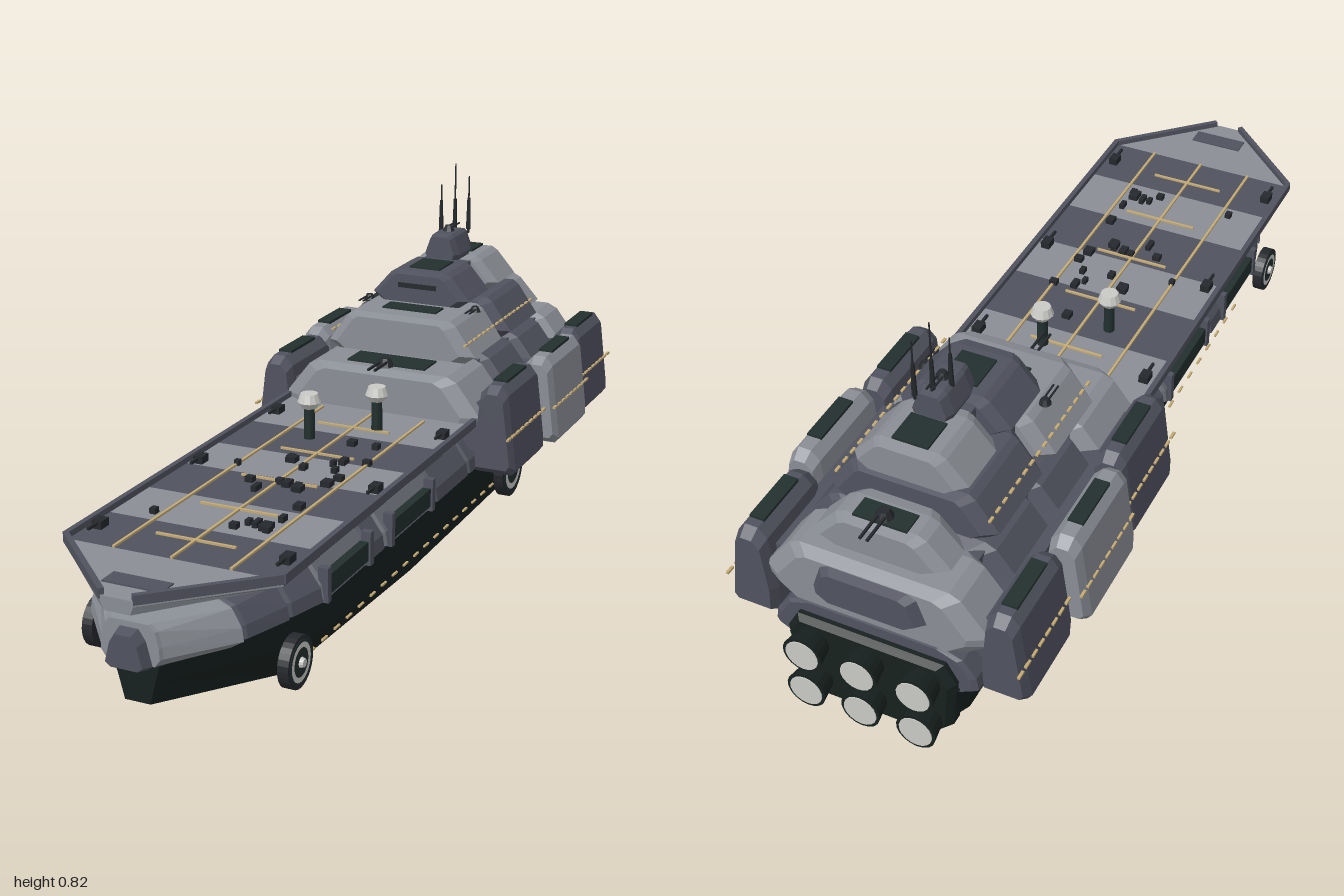
import * as THREE from 'three';
import { mergeGeometries } from 'three/addons/utils/BufferGeometryUtils.js';

const mat = (name, color) => Object.assign(new THREE.MeshStandardMaterial({ color, flatShading: true }), { name });
const M = {
  light: mat('light grey plate', 0x8a8e95), mid: mat('mid grey plate', 0x6a6d76),
  dark: mat('slate plate', 0x50525f), hull: mat('green black hull', 0x17211f),
  glass: mat('dark green panel', 0x22302e), black: mat('charcoal metal', 0x25282c),
  white: mat('pale grey', 0xc9cac6), yellow: mat('sand line', 0xc4aa74),
};

// Full ring, counterclockwise seen from the front, from its right half (bottom to top)
const ring = half => [...half, ...half.map(([x, y]) => [-x, y]).reverse()];

// Skin through cross-sections [z, points], ordered back to front, with end caps
function loft(sections) {
  const pos = [], n = sections[0][1].length;
  const P = (s, i) => [...sections[s][1][i % n], sections[s][0]];
  const last = sections.length - 1;
  for (let s = 0; s < last; s++) for (let i = 0; i < n; i++) {
    const a = P(s, i), b = P(s, i + 1), c = P(s + 1, i + 1), d = P(s + 1, i);
    pos.push(...a, ...b, ...c, ...a, ...c, ...d);
  }
  for (const s of [0, last]) {
    const [cx, cy] = centre(sections[s][1]);
    for (let i = 0; i < n; i++) {
      const a = P(s, i), b = P(s, i + 1);
      pos.push(cx, cy, sections[s][0], ...(s ? [...a, ...b] : [...b, ...a]));
    }
  }
  const g = new THREE.BufferGeometry();
  g.setAttribute('position', new THREE.Float32BufferAttribute(pos, 3));
  g.computeVertexNormals();
  return g;
}
const centre = pts => [0, 1].map(k => pts.reduce((t, p) => t + p[k], 0) / pts.length);

// Armour block: constant profile with chamfered ends
function block(pts, z0, z1, bevel = 0.025, k = 0.84) {
  const [cx, cy] = centre(pts);
  const small = pts.map(([x, y]) => [cx + (x - cx) * k, cy + (y - cy) * k]);
  return loft([[z0, small], [z0 + bevel, pts], [z1 - bevel, pts], [z1, small]]);
}
// Merged boxes given as [x, y, z, width, height, depth]
const boxes = list => mergeGeometries(list.map(([x, y, z, w, h, d]) => new THREE.BoxGeometry(w, h, d).translate(x, y, z)));
const cyl = (r0, r1, h, n = 12) => new THREE.CylinderGeometry(r0, r1, h, n);

export function createModel() {
  const root = new THREE.Group();
  const add = (name, geo, m, parent = root) => {
    const mesh = new THREE.Mesh(geo, m);
    mesh.name = name;
    parent.add(mesh);
    return mesh;
  };

  // Lower hull
  add('lowerHull', loft([
    [-0.94, ring([[0.12, 0.035], [0.17, 0.09], [0.19, 0.18]])],
    [-0.83, ring([[0.155, 0.002], [0.19, 0.09], [0.212, 0.18]])],
    [0, ring([[0.16, 0], [0.192, 0.09], [0.212, 0.178]])],
    [0.62, ring([[0.15, 0.018], [0.185, 0.09], [0.208, 0.172]])],
    [0.94, ring([[0.028, 0.073], [0.04, 0.12], [0.05, 0.156]])],
  ]), M.hull);

  // Segmented belt above it, narrowing towards the bow
  const belt = k => ring([[0.19, 0.165], [0.23, 0.185], [0.225, 0.215], [0.197, 0.255], [0.15, 0.272]]
    .map(([x, y]) => [x * k, 0.165 + (y - 0.165) * (0.7 + 0.3 * k)]));
  const width = z => z < 0.62 ? 1 : z < 0.82 ? 1 - (z - 0.62) * 1.3 : 0.74 - (z - 0.82) * 3.2;
  const cuts = [-0.93, -0.62, -0.18, 0.02, 0.3, 0.38, 0.6, 0.7, 0.82, 0.96];
  cuts.slice(1).forEach((z1, i) => {
    const z0 = cuts[i], g = 0.008, a = width(z0), b = width(z1);
    add('beltSegment', loft([[z0, belt(a * 0.95)], [z0 + g, belt(a)], [z1 - g, belt(b)], [z1, belt(b * 0.95)]]),
      [M.dark, M.dark, M.dark, M.mid, M.dark, M.mid, M.dark, M.dark, M.light][i]);
  });
  add('bowBlock', block(ring([[0.035, 0.155], [0.048, 0.165], [0.035, 0.215], [0.02, 0.237]]), 0.86, 0.985), M.dark);
  add('bowPorts', boxes([[-0.05, 0.22, 0.9, 0.03, 0.028, 0.01], [0.05, 0.22, 0.9, 0.03, 0.028, 0.01]]), M.glass);
  const ports = [], frames = [];
  for (const s of [-1, 1]) for (const [z, d] of [[0.485, 0.18], [0.16, 0.2]]) {
    ports.push([s * 0.222, 0.212, z, 0.02, 0.042, d]);
    for (const e of [-1, 1]) frames.push([s * 0.224, 0.215, z + e * (d / 2 + 0.012), 0.022, 0.075, 0.016]);
  }
  add('beltPorts', boxes(ports), M.glass);
  add('beltFrames', boxes(frames), M.dark);

  // Flight deck in alternating panels
  const deck = w => ring([[w * 0.82, 0.283], [w, 0.3], [w, 0.312]]);
  const rows = [-0.2, 0.02, 0.185, 0.33, 0.49, 0.645, 0.8, 1.0];
  rows.slice(1).forEach((z1, i) => {
    const end = i === 6 ? 0.035 : 0.242;
    add('deckPanel', loft([[rows[i], deck(0.242)], [z1, deck(end)]]), i % 2 ? M.dark : M.light);
  });
  const bowRim = Math.hypot(0.207, 0.2);
  for (const s of [-1, 1]) {
    add('deckRim', boxes([[s * 0.24, 0.315, 0.31, 0.012, 0.02, 0.98]]), M.dark);
    const rim = add('bowRim', boxes([[0, 0, 0, 0.012, 0.02, bowRim]]), M.dark);
    rim.position.set(s * 0.137, 0.315, 0.898);
    rim.rotation.y = -s * Math.atan2(0.207, 0.2);
  }
  add('bowPlate', boxes([[0, 0.313, 0.925, 0.13, 0.004, 0.045]]), M.dark);
  const lines = [-0.13, 0, 0.13].map(x => [x, 0.314, 0.33, 0.006, 0.005, 0.94]);
  for (const z of [-0.03, 0.16, 0.345, 0.525, 0.705]) lines.push([0, 0.314, z, 0.18, 0.005, 0.006]);
  add('deckLines', boxes(lines), M.yellow);
  // Small deck fittings
  let seed = 7;
  const rnd = () => (seed = (seed * 16807) % 2147483647) / 2147483647;
  const bits = [];
  for (let i = 0; i < 26; i++)
    bits.push([-0.15 + rnd() * 0.28, 0.318, 0.04 + rnd() * 0.62, 0.01 + rnd() * 0.014, 0.013, 0.012 + rnd() * 0.02]);
  for (const s of [-1, 1]) for (const z of [-0.06, 0.31, 0.72])
    bits.push([s * 0.21, 0.32, z, 0.022, 0.018, 0.03], [s * 0.21, 0.324, z + 0.025, 0.006, 0.006, 0.04]);
  add('deckFittings', boxes(bits), M.black);
  for (const [x, z] of [[0.055, -0.04], [-0.063, 0.07]]) {
    add('sensorPost', cyl(0.012, 0.013, 0.08).translate(x, 0.35, z), M.glass);
    add('sensorHead', cyl(0.027, 0.016, 0.015).translate(x, 0.392, z), M.white);
    add('sensorCap', cyl(0.02, 0.027, 0.02).translate(x, 0.409, z), M.white);
  }

  // Stepped superstructure: [name, profile, z back, z front, material]
  const base = ring([[0.2, 0.265], [0.245, 0.3], [0.25, 0.322], [0.19, 0.4], [0.165, 0.412]]);
  const second = ring([[0.165, 0.412], [0.19, 0.43], [0.14, 0.5], [0.125, 0.511]]);
  const third = ring([[0.1, 0.511], [0.127, 0.53], [0.08, 0.584], [0.065, 0.593]]);
  const tiers = [
    ['baseTier', base, -0.38, -0.165, M.light], ['baseTier', base, -0.58, -0.38, M.dark],
    ['baseTier', base, -0.78, -0.58, M.dark], ['baseTier', base, -0.93, -0.78, M.light],
    ['secondTier', second, -0.51, -0.28, M.light], ['secondTier', second, -0.765, -0.525, M.dark],
    ['aftTier', ring([[0.11, 0.412], [0.15, 0.43], [0.1, 0.485], [0.08, 0.495]]), -0.89, -0.785, M.light],
    ['thirdTier', third, -0.58, -0.4, M.dark], ['thirdTier', third, -0.765, -0.6, M.light],
    ['bridgeTop', ring([[0.04, 0.593], [0.045, 0.607], [0.03, 0.65], [0.022, 0.657]]), -0.66, -0.54, M.dark],
    ['aftBlock', ring([[0.1, 0.31], [0.13, 0.33], [0.11, 0.39], [0.09, 0.4]]), -0.95, -0.9, M.dark],
  ];
  for (const [name, pts, z0, z1, m] of tiers) add(name, block(pts, z0, z1), m);
  add('tierCores', boxes([[0, 0.34, -0.55, 0.34, 0.12, 0.7], [0, 0.46, -0.52, 0.22, 0.085, 0.44],
    [0, 0.55, -0.58, 0.12, 0.07, 0.32]]), M.dark);
  add('roofPanels', boxes([[0, 0.413, -0.25, 0.2, 0.006, 0.075], [0, 0.512, -0.375, 0.14, 0.006, 0.05],
    [0, 0.594, -0.49, 0.08, 0.006, 0.09], [0, 0.595, -0.7, 0.08, 0.006, 0.08], [0, 0.496, -0.845, 0.12, 0.006, 0.05]]), M.glass);
  add('bridgeWindow', boxes([[0, 0.56, -0.402, 0.1, 0.012, 0.008]]), M.black);

  // Gun turrets: [x, y, z, size, facing]
  for (const [x, y, z, k, f] of [[0, 0.412, -0.21, 1, 1], [0, 0.496, -0.85, 1, -1],
    [0.14, 0.506, -0.43, 0.65, 1], [-0.14, 0.506, -0.43, 0.65, 1], [0, 0.657, -0.6, 0.7, -1]]) {
    const gun = new THREE.Group();
    gun.name = 'turret';
    add('turretBase', cyl(0.012, 0.022, 0.02, 8).translate(0, 0.01, 0), M.black, gun);
    add('gunBarrels', boxes([-1, 1].map(s => [s * 0.008, 0.012, 0.045, 0.005, 0.005, 0.07])), M.black, gun);
    gun.position.set(x, y, z);
    gun.scale.setScalar(k);
    if (f < 0) gun.rotation.y = Math.PI;
    root.add(gun);
  }
  // Antennas
  for (const [x, z, top] of [[-0.025, -0.61, 0.77], [0, -0.64, 0.82], [0.027, -0.665, 0.786]]) {
    add('antenna', cyl(0.0015, 0.003, top - 0.64, 6).translate(x, (top + 0.64) / 2, z), M.black);
    add('antennaBase', cyl(0.004, 0.006, 0.08, 6).translate(x, 0.69, z), M.black);
  }

  // Side pods, wheels and dashed side lines
  const pod = [[0.235, 0.186], [0.325, 0.186], [0.335, 0.2], [0.312, 0.38], [0.295, 0.402], [0.265, 0.402], [0.245, 0.38], [0.232, 0.25]];
  for (const s of [-1, 1]) {
    const side = pts => s > 0 ? pts : pts.map(([x, y]) => [-x, y]).reverse();
    [[-0.425, -0.185, 0, M.dark], [-0.69, -0.435, 0.02, M.light], [-0.925, -0.705, 0, M.dark]].forEach(([z0, z1, dx, m]) => {
      add('sidePod', block(side(pod.map(([x, y]) => [x + dx, y + dx * 0.2])), z0, z1), m);
      add('podRoofPanel', boxes([[s * (0.28 + dx), 0.404 + dx * 0.2, (z0 + z1) / 2, 0.034, 0.007, 0.13]]), M.glass);
    });
    add('podMounts', boxes([[s * 0.225, 0.29, -0.55, 0.06, 0.12, 0.66]]), M.dark);

    for (const [z, r] of [[0.715, 0.055], [-0.475, 0.073]]) {
      const wheel = new THREE.Group();
      wheel.name = 'wheel';
      add('tyre', cyl(r, r, 0.024, 28), M.black, wheel);
      add('wheelRing', new THREE.RingGeometry(r * 0.55, r * 0.75, 28).rotateX(-Math.PI / 2).translate(0, 0.0135, 0), M.white, wheel);
      add('wheelFace', cyl(r * 0.85, r * 0.9, 0.003, 28).translate(0, 0.0115, 0), M.glass, wheel);
      add('hub', cyl(r * 0.16, r * 0.22, 0.01, 12).translate(0, 0.016, 0), M.white, wheel);
      wheel.position.set(s * 0.221, 0.103, z);
      wheel.rotation.z = -s * Math.PI / 2;
      root.add(wheel);
    }
    const dashes = [];
    for (let z = -0.93; z < -0.16; z += 0.03) dashes.push([s * (z > -0.69 && z < -0.43 ? 0.346 : 0.326), 0.285, z, 0.006, 0.005, 0.02]);
    for (let z = -0.74; z < -0.28; z += 0.03) dashes.push([s * 0.172, 0.462, z, 0.006, 0.004, 0.016]);
    for (let z = -0.8; z < 0.62; z += 0.06) dashes.push([s * 0.19, 0.06, z, 0.005, 0.004, 0.024]);
    add('sideDashes', boxes(dashes), M.yellow);
  }

  // Stern plate and six engine nozzles
  add('sternPlate', block(ring([[0.14, 0.04], [0.18, 0.08], [0.19, 0.2], [0.165, 0.245]]), -0.955, -0.9, 0.015, 0.93), M.hull);
  for (const x of [-0.125, 0, 0.125]) for (const y of [0.092, 0.195]) {
    add('nozzle', cyl(0.036, 0.044, 0.05, 18).rotateX(Math.PI / 2).translate(x, y, -0.973), M.hull);
    add('nozzleFace', cyl(0.037, 0.037, 0.004, 18).rotateX(Math.PI / 2).translate(x, y, -0.998), M.white);
  }
  return root;
}
